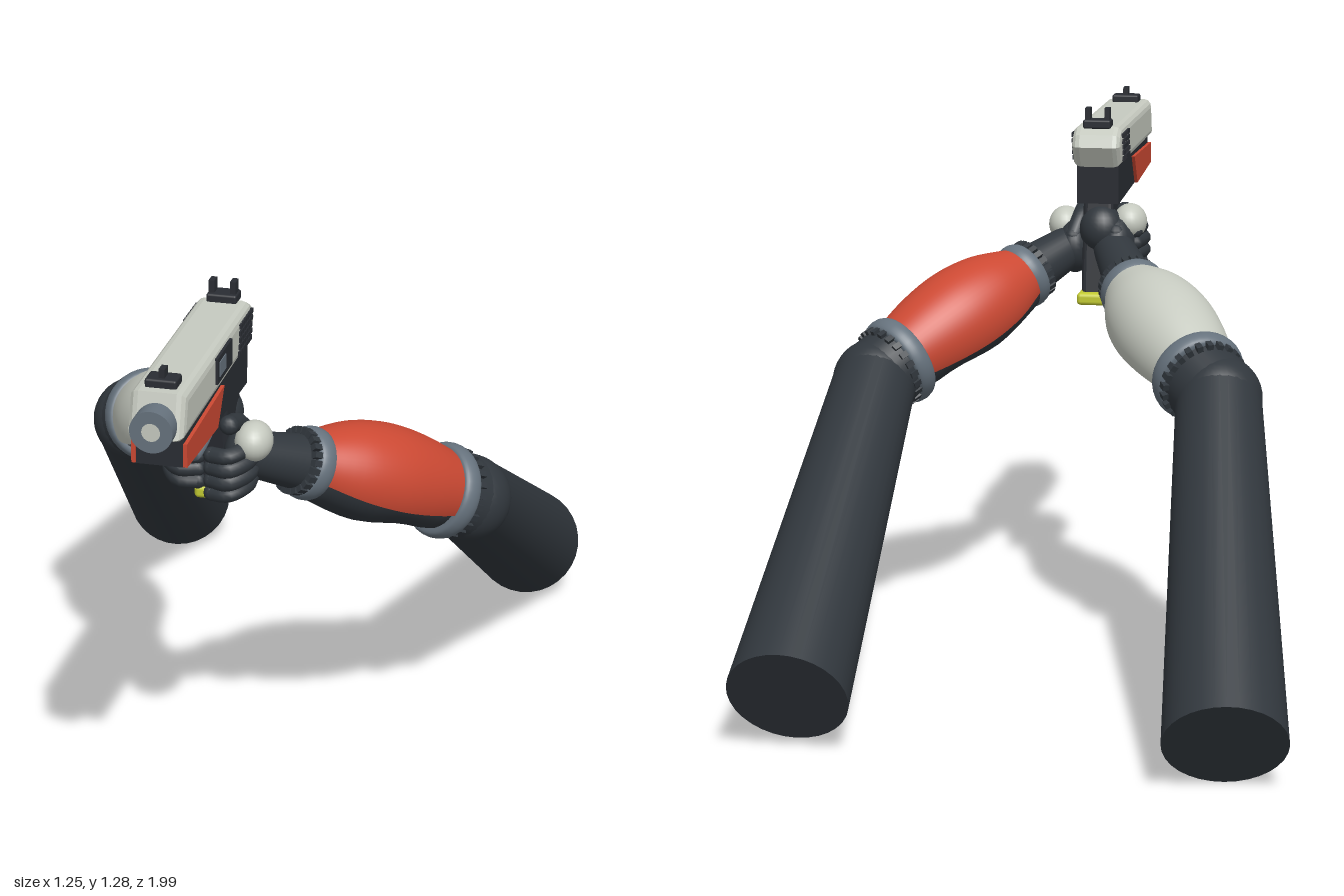
import * as THREE from 'three';
import { RoundedBoxGeometry } from 'three/addons/geometries/RoundedBoxGeometry.js';

const V = (x, y, z) => new THREE.Vector3(x, y, z);
const material = (name, color, side = THREE.FrontSide) => {
  const m = new THREE.MeshStandardMaterial({ color, side });
  m.name = name;
  return m;
};
const GUN_X = -0.013;

export function createModel() {
  const dark = material('dark suit', 0x31373d);
  const black = material('black polymer', 0x2a2d33);
  const grey = material('grey metal', 0x66727d);
  const pale = material('pale shell', 0xc6cac0, THREE.DoubleSide);
  const red = material('red shell', 0xcc4933, THREE.DoubleSide);
  const yellow = material('yellow base', 0xc4cc33);

  const model = new THREE.Group();
  const add = (parent, name, geometry, mat, x = 0, y = 0, z = 0) => {
    const mesh = new THREE.Mesh(geometry, mat);
    mesh.name = name;
    mesh.position.set(x, y, z);
    parent.add(mesh);
    return mesh;
  };
  const section = (name) => {
    const g = new THREE.Group();
    g.name = name;
    model.add(g);
    return g;
  };

  // Side profile of [z, y] points, extruded across x
  const profile = (points, width, bevel = 0) => {
    const shape = new THREE.Shape(points.map(([z, y]) => new THREE.Vector2(z, y)));
    const geo = new THREE.ExtrudeGeometry(shape, {
      depth: width - 2 * bevel, bevelEnabled: bevel > 0, bevelSize: bevel,
      bevelThickness: bevel, bevelOffset: -bevel, bevelSegments: 3,
    });
    geo.translate(0, 0, bevel - width / 2);
    return geo.rotateY(-Math.PI / 2);
  };

  // Group whose y runs from a to b and whose z points as far up as possible
  const along = (parent, name, a, b) => {
    const y = b.clone().sub(a).normalize();
    const z = V(0, 1, 0).addScaledVector(y, -y.y).normalize();
    const g = new THREE.Group();
    g.name = name;
    g.quaternion.setFromRotationMatrix(
      new THREE.Matrix4().makeBasis(y.clone().cross(z), y, z));
    g.position.copy(a);
    parent.add(g);
    return g;
  };
  const limb = (parent, name, a, b, ra, rb, mat) => {
    const length = a.distanceTo(b);
    const g = along(parent, name, a, b);
    add(g, name, new THREE.CylinderGeometry(rb, ra, length, 32), mat, 0, length / 2, 0);
    return g;
  };
  const lathe = (points, start = 0, sweep = Math.PI * 2) => {
    const curve = new THREE.SplineCurve(points.map(([r, y]) => new THREE.Vector2(r, y)));
    return new THREE.LatheGeometry(curve.getPoints(20), 36, start, sweep);
  };
  // Rounded tube with ball ends
  const finger = (parent, name, points, r, mat) => {
    const curve = new THREE.CatmullRomCurve3(points);
    add(parent, name, new THREE.TubeGeometry(curve, 16, r, 10), mat);
    for (const p of [points[0], points[points.length - 1]])
      add(parent, name + 'Tip', new THREE.SphereGeometry(r, 12, 8), mat, p.x, p.y, p.z);
  };

  // Metal cuff with a toothed dark collar beside it
  const cuff = (parent, name, radius, y, toothSide) => {
    const band = lathe([[radius - 0.02, -0.025], [radius, -0.022], [radius + 0.007, 0],
      [radius, 0.022], [radius - 0.02, 0.025]]);
    add(parent, name, band, grey, 0, y, 0);
    for (let i = 0; i < 24; i++) {
      const a = i / 24 * Math.PI * 2;
      const tooth = add(parent, name + 'Tooth', new THREE.BoxGeometry(0.014, 0.024, 0.016), dark,
        Math.sin(a) * (radius - 0.008), y + toothSide * 0.03, Math.cos(a) * (radius - 0.008));
      tooth.rotation.y = a;
    }
  };

  // One arm from shoulder to hand
  const buildArm = (name, shoulder, elbow, cuffA, cuffB, hand, shellMat) => {
    const arm = section(name);
    limb(arm, 'upperArm', elbow, shoulder, 0.1, 0.137, dark);
    add(arm, 'elbow', new THREE.SphereGeometry(0.102, 32, 20), dark, elbow.x, elbow.y, elbow.z);
    limb(arm, 'elbowSleeve', elbow, cuffA, 0.1, 0.098, dark);
    const L = cuffA.distanceTo(cuffB);
    const fore = along(arm, 'forearm', cuffA, cuffB);
    add(fore, 'forearmCore', lathe([[0.001, 0], [0.085, 0], [0.095, L * 0.3],
      [0.106, L * 0.6], [0.088, L * 0.88], [0.068, L], [0.001, L]]), dark);
    add(fore, 'forearmShell', lathe([[0.094, 0], [0.117, L * 0.25], [0.126, L * 0.5],
      [0.113, L * 0.75], [0.075, L]], -1.9, 3.8), shellMat);
    cuff(fore, 'elbowCuff', 0.106, 0, -1);
    cuff(fore, 'wristCuff', 0.077, L, 1);
    limb(arm, 'wrist', cuffB, hand, 0.066, 0.05, dark);
    return arm;
  };

  const leftArm = buildArm('leftArm', V(0.487, 0.14, -0.81), V(0.478, 0.66, 0.06),
    V(0.43, 0.70, 0.12), V(0.175, 0.865, 0.40), V(0.065, 0.93, 0.52), red);
  const rightArm = buildArm('rightArm', V(-0.49, 0.118, -0.912), V(-0.38, 0.69, -0.13),
    V(-0.325, 0.73, -0.075), V(-0.125, 0.862, 0.26), V(-0.05, 0.94, 0.42), pale);

  // Hands: palm, knuckle guard, four curled fingers and a thumb
  const buildHand = (arm, s, palm, guard, front, low) => {
    const p = add(arm, 'palm', new THREE.SphereGeometry(1, 24, 16), dark, palm.x, palm.y, palm.z);
    p.scale.set(0.045, 0.068, 0.07);
    const k = add(arm, 'knuckleGuard', new THREE.SphereGeometry(1, 24, 16), pale,
      guard.x, guard.y, guard.z);
    k.scale.set(0.042, 0.045, 0.052);
    for (let i = 0; i < 4; i++) {
      const y = low + i * 0.03;
      const reach = 0.012 * Math.sin((i + 0.5) / 4 * Math.PI);
      finger(arm, 'finger', [V(GUN_X + s * 0.09, y + 0.01, palm.z),
        V(GUN_X + s * (0.085 + reach), y + 0.008, front - 0.035),
        V(GUN_X + s * 0.06, y, front + reach),
        V(GUN_X + s * 0.02, y - 0.004, front - 0.005)], 0.0185, dark);
    }
    finger(arm, 'thumb', [V(palm.x, palm.y + 0.03, palm.z - 0.04),
      V(GUN_X + s * 0.06, 1.0, palm.z), V(GUN_X + s * 0.055, 1.02, palm.z + 0.06)], 0.022, dark);
  };
  buildHand(leftArm, 1, V(0.06, 0.925, 0.52), V(0.09, 0.975, 0.55), 0.605, 0.868);
  buildHand(rightArm, -1, V(-0.06, 0.95, 0.44), V(-0.087, 1.0, 0.46), 0.575, 0.88);
  // Web of the hand behind the grip
  const web = add(rightArm, 'handWeb', new THREE.SphereGeometry(1, 24, 16), dark, -0.02, 0.985, 0.43);
  web.scale.set(0.055, 0.06, 0.055);

  // Pistol
  const gun = section('pistol');
  gun.position.x = GUN_X;
  add(gun, 'slide', profile([[0.973, 1.15], [0.945, 1.243], [0.41, 1.243], [0.378, 1.225],
    [0.366, 1.195], [0.4, 1.143], [0.96, 1.143]], 0.122, 0.02), pale);
  add(gun, 'frame', profile([[0.935, 1.15], [0.935, 1.075], [0.69, 1.062], [0.41, 1.05],
    [0.405, 1.15]], 0.104), black);
  for (const s of [1, -1]) {
    add(gun, 'sidePanel', profile([[0.94, 1.13], [0.94, 1.078], [0.69, 1.062], [0.635, 1.137]],
      0.009), red, s * 0.0555, 0, 0);
    // Rear grip studs
    for (let r = 0; r < 5; r++) for (let c = 0; c < 6; c++)
      add(gun, 'gripStud', new THREE.BoxGeometry(0.008, 0.0105, 0.014), black,
        s * 0.061, 1.163 + r * 0.0145, 0.515 - c * 0.0185 + r * -0.003);
  }

  // Ejection port on the left side
  add(gun, 'ejectionPort', new THREE.BoxGeometry(0.008, 0.058, 0.122), black, 0.062, 1.199, 0.652);
  add(gun, 'portBlock', new THREE.BoxGeometry(0.006, 0.033, 0.05), grey, 0.065, 1.2, 0.675);

  // Barrel and bore plug
  const barrel = add(gun, 'barrel', new THREE.CylinderGeometry(0.046, 0.046, 0.09, 32), grey, 0, 1.176, 0.954);
  barrel.rotation.x = Math.PI / 2;
  const bore = add(gun, 'bore', new THREE.CircleGeometry(0.02, 24), pale, 0, 1.176, 0.9998);
  bore.renderOrder = 0;

  // Sights: base with upright posts
  for (const [z, h, xs] of [[0.9, 0.025, [0]], [0.41, 0.034, [-0.024, 0.024]]]) {
    add(gun, 'sightBase', new RoundedBoxGeometry(0.068, 0.022, 0.048, 2, 0.005), black, 0, 1.25, z);
    for (const x of xs)
      add(gun, 'sightPost', new THREE.BoxGeometry(0.013, h, 0.026), black, x, 1.255 + h / 2, z);
  }

  // Grip, magazine base, trigger guard and trigger
  add(gun, 'grip', profile([[0.545, 1.07], [0.505, 0.83], [0.385, 0.83], [0.42, 1.07]], 0.076, 0.012), black);
  add(gun, 'magazineBase', new RoundedBoxGeometry(0.092, 0.03, 0.15, 3, 0.01), yellow, 0, 0.817, 0.435);
  const guard = new THREE.CatmullRomCurve3([V(0, 1.07, 0.715), V(0, 1.02, 0.705),
    V(0, 0.982, 0.68), V(0, 0.977, 0.62), V(0, 0.99, 0.54)]);
  const guardMesh = add(gun, 'triggerGuard', new THREE.TubeGeometry(guard, 24, 0.009, 8), grey);
  guardMesh.scale.x = 1.5;
  add(gun, 'trigger', profile([[0.605, 1.07], [0.585, 1.03], [0.6, 0.995], [0.585, 0.995],
    [0.565, 1.03], [0.575, 1.07]], 0.02), grey);

  return model;
}
